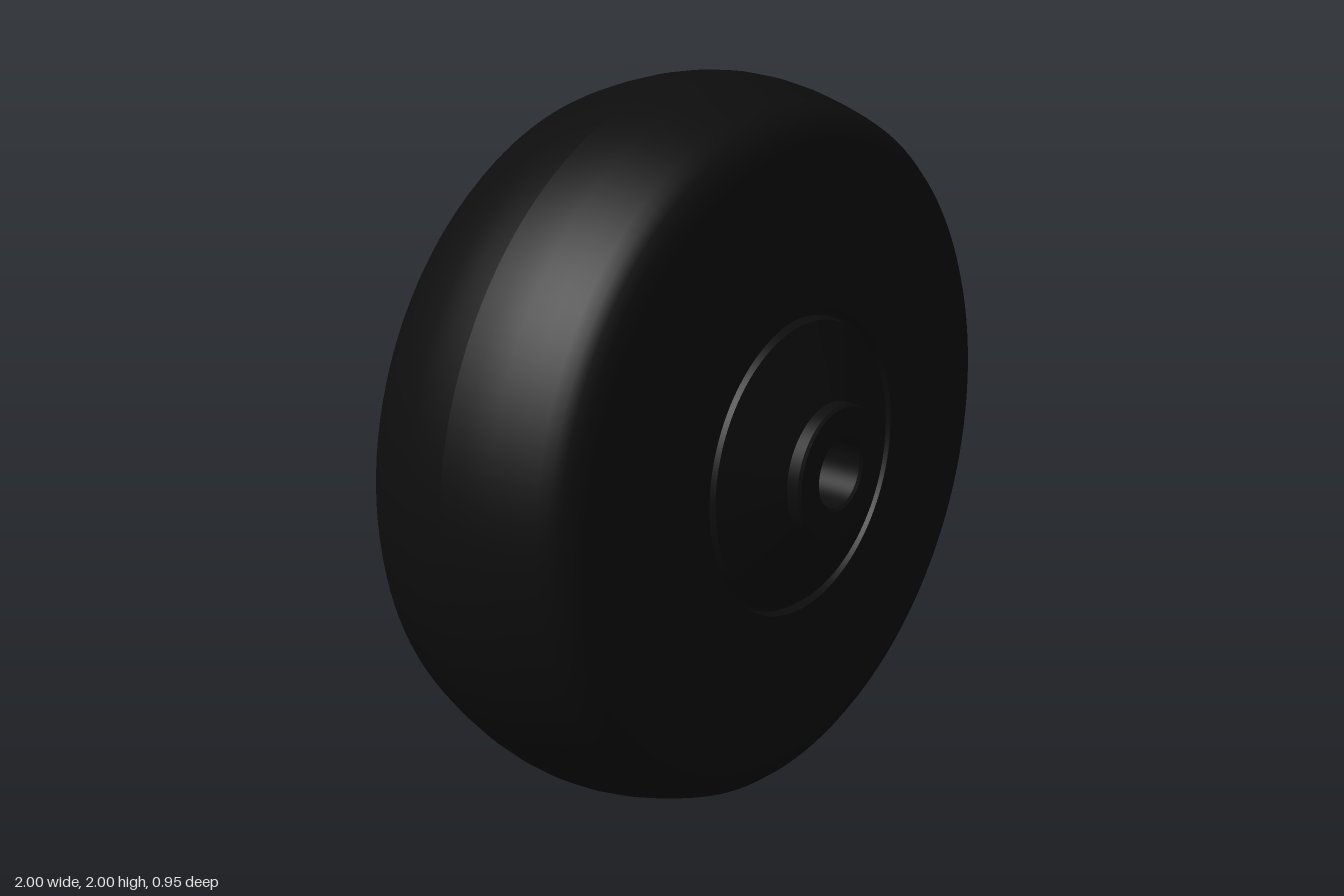
import * as THREE from 'three';
import { mergeGeometries } from 'three/addons/utils/BufferGeometryUtils.js';

const SEGMENTS = 128;

// Revolve runs of [radius, z] points about the z axis; each run is smooth, joins between runs stay sharp.
// Runs are listed for the +z half, going from the outside to the centre.
function revolve(runs) {
  const lathes = [];
  for (const run of runs) {
    const mirrored = run.map(([r, z]) => [r, -z]).reverse();
    for (const pts of [run, mirrored]) {
      lathes.push(new THREE.LatheGeometry(pts.map(([r, z]) => new THREE.Vector2(r, z)), SEGMENTS));
    }
  }
  return mergeGeometries(lathes).rotateX(Math.PI / 2);
}

// Split a polyline into separate straight runs so every corner is sharp
const sharp = (pts) => pts.slice(1).map((p, i) => [pts[i], p]);

export function createModel() {
  const group = new THREE.Group();
  group.name = 'wheel';
  const rubber = new THREE.MeshStandardMaterial({ color: 0x0d0d0d });
  rubber.name = 'black rubber';

  const add = (name, runs) => {
    const mesh = new THREE.Mesh(revolve(runs), rubber);
    mesh.name = name;
    mesh.position.y = 1;
    group.add(mesh);
  };

  // Crowned tread, rounded shoulder and sloping sidewall
  add('tyre', [[
    [1, 0], [0.996, 0.065], [0.985, 0.13], [0.966, 0.2], [0.947, 0.255], [0.934, 0.285],
    [0.915, 0.308], [0.89, 0.326], [0.86, 0.336], [0.83, 0.339], [0.535, 0.36],
  ]]);

  // Flat rim ring with a shallow groove inside it
  add('rim', sharp([[0.535, 0.36], [0.415, 0.36], [0.408, 0.335], [0.398, 0.335], [0.39, 0.36]]));

  // Cone rising to the hub
  add('hubCone', sharp([[0.39, 0.36], [0.185, 0.435]]));

  // Hub boss with bevelled edge and an open axle bore
  add('hub', sharp([[0.187, 0.43], [0.187, 0.468], [0.18, 0.475], [0.102, 0.475], [0.095, 0.468], [0.095, 0]]));

  return group;
}
